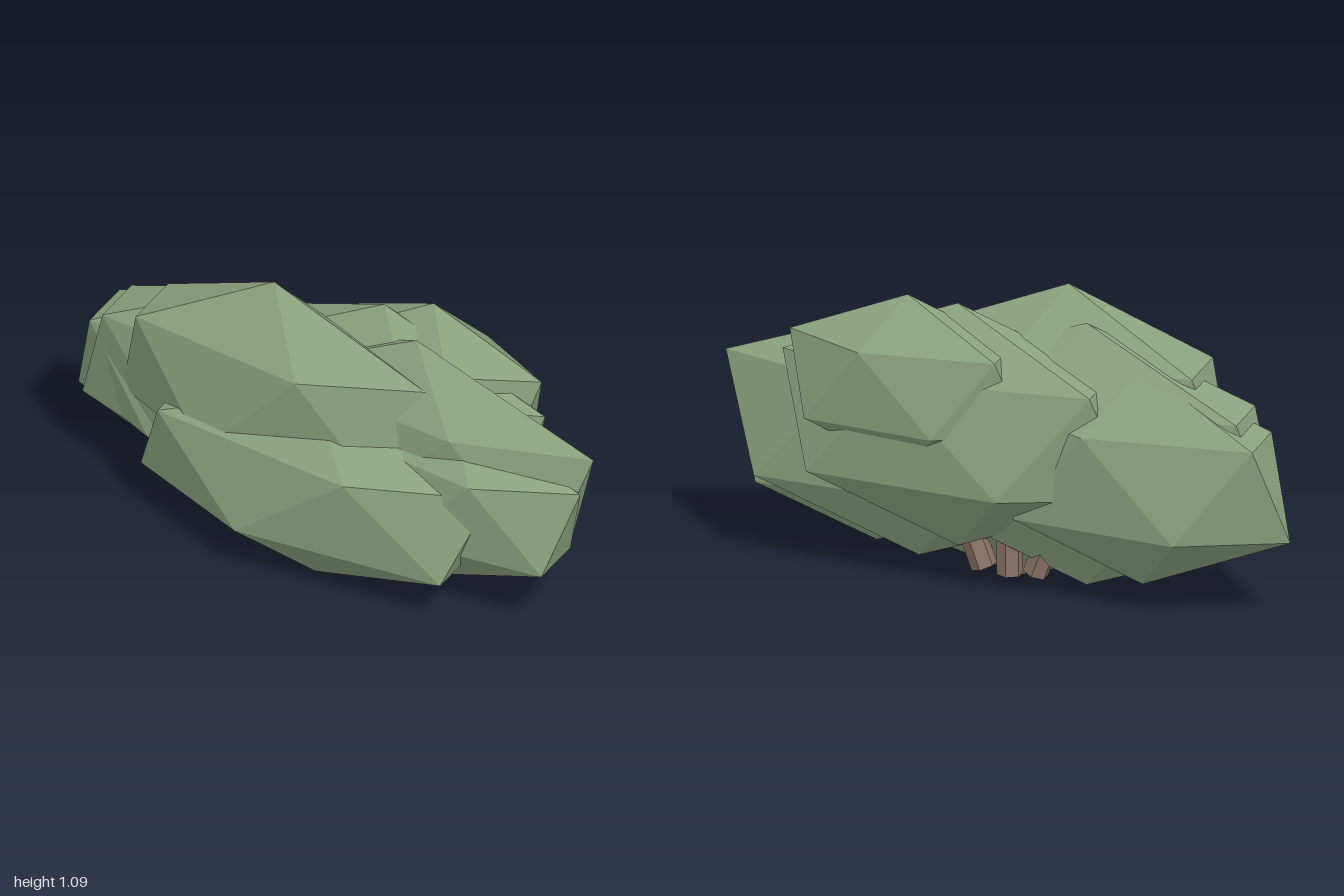
import * as THREE from 'three';
import { ConvexGeometry } from 'three/addons/geometries/ConvexGeometry.js';

// Unit icosahedron standing on a vertex: two poles and two staggered rings of five
function icosahedron() {
  const points = [new THREE.Vector3(0, 1, 0), new THREE.Vector3(0, -1, 0)];
  const ringRadius = 2 / Math.sqrt(5), ringHeight = 1 / Math.sqrt(5);
  for (let i = 0; i < 5; i++) {
    const a = (i / 5) * Math.PI * 2;
    const x = ringRadius * Math.cos(a), z = ringRadius * Math.sin(a);
    points.push(new THREE.Vector3(x, ringHeight, z), new THREE.Vector3(-x, -ringHeight, z));
  }
  return new ConvexGeometry(points);
}

export function createModel() {
  const shrub = new THREE.Group();
  shrub.name = 'shrub';

  const leafGreen = new THREE.MeshStandardMaterial({ color: 0x8ba37f, flatShading: true });
  leafGreen.name = 'leaf green';
  const barkBrown = new THREE.MeshStandardMaterial({ color: 0x8a7466, flatShading: true });
  barkBrown.name = 'bark brown';

  // Foliage clumps: name, centre, radii
  const clumps = [
    ['topClump', [-0.18, 0.667, 0.05], [0.65, 0.443, 0.206]],
    ['frontClump', [0.007, 0.39, 0.1], [0.75, 0.37, 0.213]],
    ['leftClump', [0.32, 0.55, -0.03], [0.76, 0.45, 0.176]],
    ['frontLeftClump', [0.48, 0.467, 0.007], [0.548, 0.348, 0.184]],
    ['backLeftClump', [0.32, 0.764, -0.145], [0.464, 0.316, 0.163]],
    ['backClump', [0.16, 0.615, -0.095], [0.69, 0.435, 0.2]],
    ['rightClump', [-0.48, 0.505, -0.07], [0.582, 0.39, 0.19]],
    ['innerRightClump', [-0.27, 0.54, -0.03], [0.774, 0.47, 0.185]],
  ];
  const clumpGeometry = icosahedron();
  for (const [name, centre, radii] of clumps) {
    const clump = new THREE.Mesh(clumpGeometry, leafGreen);
    clump.name = name;
    clump.position.set(...centre);
    clump.scale.set(...radii);
    shrub.add(clump);
  }

  // Three short stems fanning out into the foliage, pivoting at their feet
  const stemGeometry = new THREE.CylinderGeometry(0.045, 0.045, 0.3, 6).translate(0, 0.15, 0);
  [['rightStem', -1], ['middleStem', 0], ['leftStem', 1]].forEach(([name, side]) => {
    const stem = new THREE.Mesh(stemGeometry, barkBrown);
    stem.name = name;
    stem.position.set(side * 0.09, side ? 0.09 : 0.076, -0.03);
    stem.rotation.z = -side * 0.35;
    shrub.add(stem);
  });

  return shrub;
}
